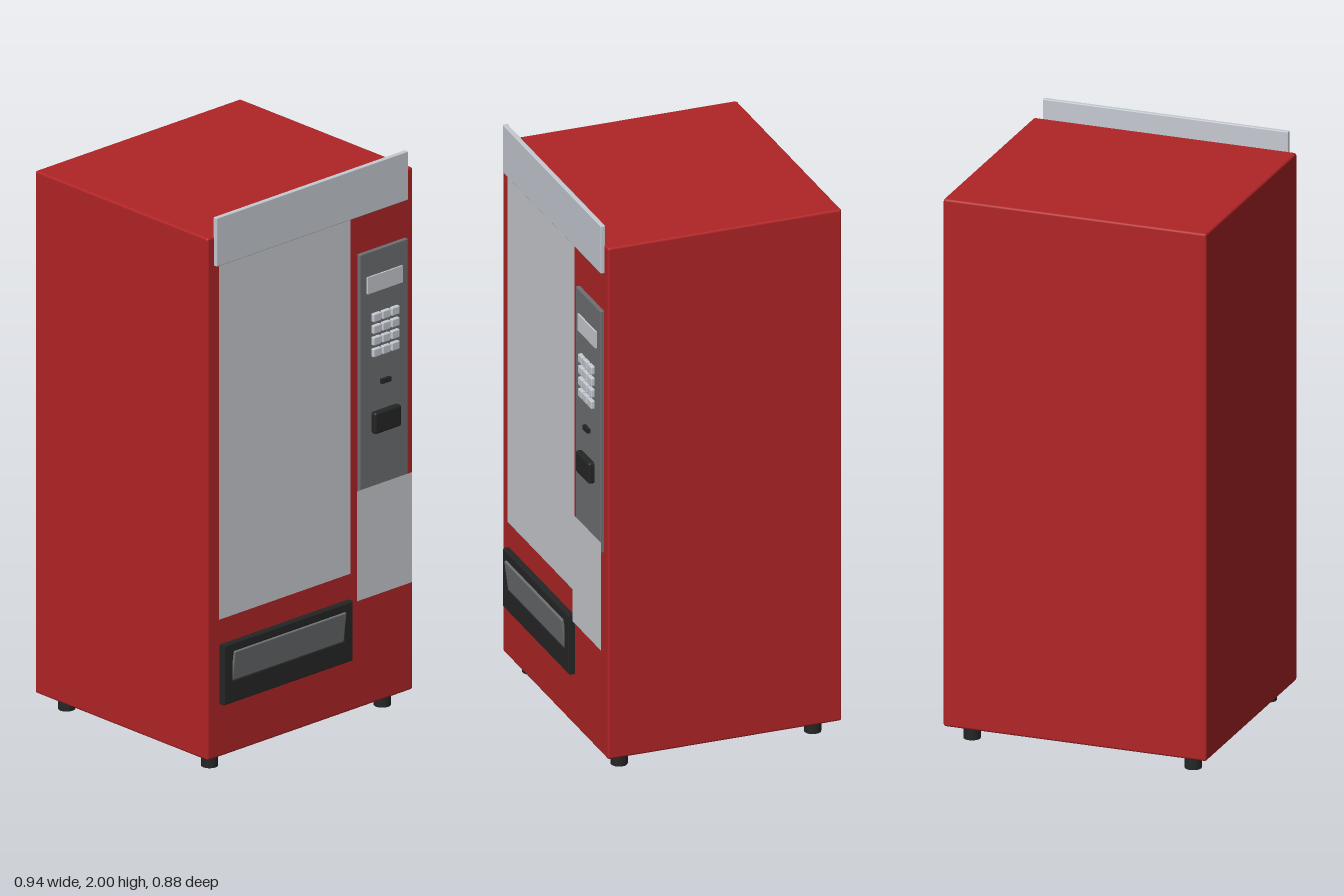
import * as THREE from 'three';
import { RoundedBoxGeometry } from 'three/addons/geometries/RoundedBoxGeometry.js';

const mat = (name, color, side = THREE.FrontSide) => {
  const m = new THREE.MeshStandardMaterial({ color, side });
  m.name = name;
  return m;
};

export function createModel() {
  const group = new THREE.Group();
  const red = mat('cabinet red', 0xb02426);
  const silver = mat('silver', 0xc6cbd2);
  const pane = mat('pane grey', 0xc8cbcf, THREE.DoubleSide);
  const grey = mat('panel grey', 0x6d7072);
  const black = mat('black', 0x242625);

  const add = (name, geometry, material, parent = group) => {
    const mesh = new THREE.Mesh(geometry, material);
    mesh.name = name;
    parent.add(mesh);
    return mesh;
  };
  // Box given by its limits; a radius rounds its edges
  const box = (name, material, [x0, x1], [y0, y1], [z0, z1], radius = 0, parent = group) => {
    const size = [x1 - x0, y1 - y0, z1 - z0];
    const geo = radius ? new RoundedBoxGeometry(...size, 2, radius) : new THREE.BoxGeometry(...size);
    const mesh = add(name, geo, material, parent);
    mesh.position.set((x0 + x1) / 2, (y0 + y1) / 2, (z0 + z1) / 2);
    return mesh;
  };
  // Flat sheet facing forward
  const sheet = (name, [x0, x1], [y0, y1], z) => {
    const mesh = add(name, new THREE.PlaneGeometry(x1 - x0, y1 - y0), pane);
    mesh.position.set((x0 + x1) / 2, (y0 + y1) / 2, z);
  };

  // Cabinet and header sign
  box('cabinet', red, [-0.47, 0.47], [0.055, 1.93], [-0.44, 0.4], 0.008);
  box('headerSign', silver, [-0.44, 0.437], [1.825, 2], [0.396, 0.413], 0.003);

  // Display window and lower cover
  sheet('displayWindow', [-0.42, 0.18], [0.55, 1.828], 0.403);
  sheet('lowerCover', [0.197, 0.45], [0.45, 0.845], 0.417);

  // Control panel
  const controls = new THREE.Group();
  controls.name = 'controls';
  group.add(controls);
  box('controlPanel', grey, [0.215, 0.435], [0.8, 1.687], [0.395, 0.414], 0.003, controls);
  box('screen', pane, [0.245, 0.405], [1.54, 1.6], [0.412, 0.42], 0, controls);
  for (let row = 0; row < 4; row++) {
    for (let col = 0; col < 3; col++) {
      const x = 0.284 + col * 0.042, y = 1.449 - row * 0.042;
      box('key', silver, [x - 0.018, x + 0.018], [y - 0.015, y + 0.015], [0.41, 0.427], 0.004, controls);
    }
  }
  box('coinSlot', black, [0.305, 0.346], [1.203, 1.219], [0.41, 0.426], 0, controls);
  box('cardReader', black, [0.265, 0.385], [1.034, 1.111], [0.41, 0.436], 0.008, controls);

  // Delivery hatch: frame with an opening, dark back and tilted flap
  const rect = (P, x0, x1, y0, y1) =>
    new P([[x0, y0], [x1, y0], [x1, y1], [x0, y1]].map(p => new THREE.Vector2(...p)));
  const frame = rect(THREE.Shape, -0.412, 0.172, 0.248, 0.456);
  frame.holes.push(rect(THREE.Path, -0.378, 0.138, 0.322, 0.432));
  const frameGeo = new THREE.ExtrudeGeometry(frame, {
    depth: 0.022, bevelThickness: 0.003, bevelSize: 0.003, bevelSegments: 1,
  });
  add('hatchFrame', frameGeo, black).position.z = 0.397;
  box('hatchBack', black, [-0.39, 0.15], [0.3, 0.445], [0.396, 0.405]);
  const flap = box('hatchFlap', grey, [-0.375, 0.135], [0.324, 0.432], [0.417, 0.427], 0.003);
  flap.rotation.x = 0.13;

  // Feet
  for (const x of [-0.395, 0.395]) {
    for (const z of [-0.365, 0.33]) {
      const foot = add('foot', new THREE.CylinderGeometry(0.029, 0.029, 0.06, 20), black);
      foot.position.set(x, 0.03, z);
    }
  }
  return group;
}
